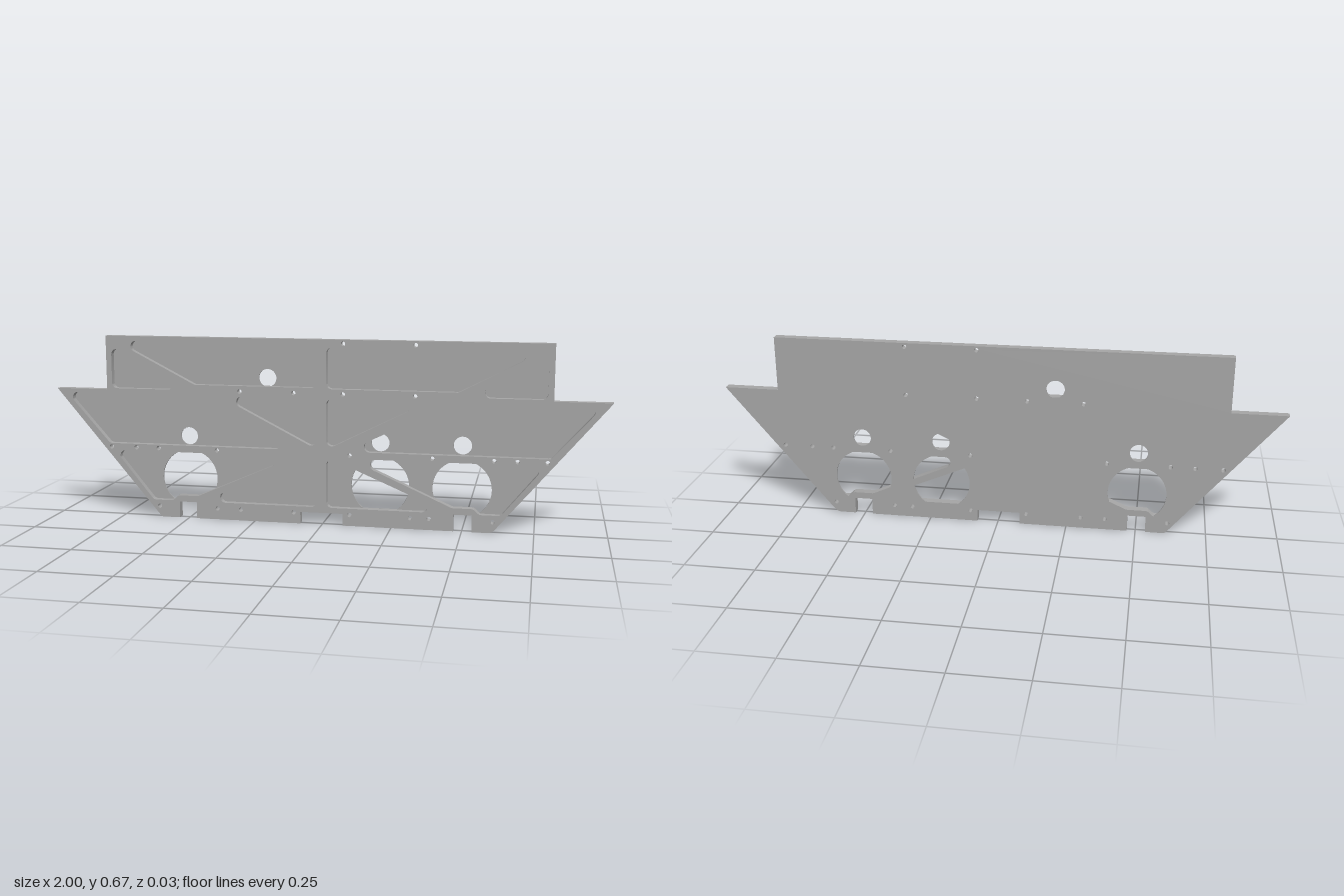
import * as THREE from 'three';
import { toCreasedNormals } from 'three/addons/utils/BufferGeometryUtils.js';

const BACK = -0.015, FLOOR = -0.009, FRONT = 0.015;

// Polygon with rounded corners; each point is [x, y, optional radius]
function rounded(points, radius) {
  const out = [], n = points.length;
  const P = points.map(([x, y]) => new THREE.Vector2(x, y));
  for (let i = 0; i < n; i++) {
    const p = P[i], r = points[i][2] ?? radius;
    if (!r) { out.push(p); continue; }
    const u = P[(i + n - 1) % n].clone().sub(p), v = P[(i + 1) % n].clone().sub(p);
    const room = 0.45 * Math.min(u.length(), v.length());
    u.normalize(); v.normalize();
    const half = Math.acos(THREE.MathUtils.clamp(u.dot(v), -1, 1)) / 2;
    const t = Math.min(r / Math.tan(half), room), rr = t * Math.tan(half);
    const c = u.clone().add(v).normalize().multiplyScalar(rr / Math.sin(half)).add(p);
    const a = p.clone().addScaledVector(u, t).sub(c).angle();
    let d = p.clone().addScaledVector(v, t).sub(c).angle() - a;
    if (d > Math.PI) d -= 2 * Math.PI;
    if (d < -Math.PI) d += 2 * Math.PI;
    for (let k = 0; k <= 8; k++) {
      const g = a + d * k / 8;
      out.push(new THREE.Vector2(c.x + rr * Math.cos(g), c.y + rr * Math.sin(g)));
    }
  }
  return out;
}

function circle(x, y, r, sides) {
  return Array.from({ length: sides }, (_, i) => {
    const a = i / sides * 2 * Math.PI;
    return new THREE.Vector2(x + r * Math.cos(a), y + r * Math.sin(a));
  });
}

// Part of a polygon lying inside a convex counter-clockwise one
function clip(poly, convex) {
  let out = poly;
  convex.forEach((a, i) => {
    const e = convex[(i + 1) % convex.length].clone().sub(a);
    const side = p => e.x * (p.y - a.y) - e.y * (p.x - a.x);
    const next = [];
    out.forEach((p, j) => {
      const q = out[(j + 1) % out.length], sp = side(p), sq = side(q);
      if (sp >= 0) next.push(p);
      if ((sp >= 0) !== (sq >= 0)) next.push(p.clone().lerp(q, sp / (sp - sq)));
    });
    out = next;
  });
  return out.filter((p, i) => p.distanceTo(out[(i + 1) % out.length]) > 1e-5);
}

function layer(name, outline, holes, z0, z1, material) {
  const shape = new THREE.Shape(outline);
  shape.holes = holes.map(h => new THREE.Path(h));
  const geo = new THREE.ExtrudeGeometry(shape, { depth: z1 - z0, bevelEnabled: false });
  geo.translate(0, 0, z0);
  const mesh = new THREE.Mesh(toCreasedNormals(geo, 0.5), material);
  mesh.name = name;
  return mesh;
}

export function createModel() {
  const grey = new THREE.MeshStandardMaterial({ color: 0xa6a6a6 });
  grey.name = 'plate grey';

  // Plate outline with bottom notches
  const outline = rounded([
    [-0.59, 0], [-0.535, 0], [-0.535, 0.06], [-0.47, 0.06], [-0.47, 0],
    [-0.08, 0], [-0.08, 0.043], [0.075, 0.043], [0.075, 0],
    [0.47, 0], [0.47, 0.06], [0.535, 0.06], [0.535, 0], [0.605, 0, 0.035],
    [1, 0.47], [0.803, 0.47], [0.803, 0.667], [-0.805, 0.667], [-0.805, 0.47],
    [-1, 0.47], [-0.605, 0, 0.035],
  ], 0);

  // Pockets found on both sides of the middle rib
  const pockets = [];
  for (const s of [-1, 1]) {
    const mid = s < 0 ? 0.02 : 0.016;
    const sets = [
      // middle outer
      [[0.965, 0.457], [0.473, 0.457], [0.083, 0.27], [0.80, 0.27]],
      // middle inner
      [[0.378, 0.457], [mid, 0.457], [mid, 0.275]],
      // lower inner
      [[0.458, 0.063], [mid, 0.063], [mid, 0.25]],
      // lower outer
      [[0.783, 0.245], [0.098, 0.245], [0.465, 0.083], [0.54, 0.083], [0.56, 0.063], [0.635, 0.063]],
    ];
    sets.forEach(set => pockets.push(rounded(set.map(([x, y]) => [s * x, y]), 0.02)));
  }
  // Upper pockets, slightly different on each side
  [
    [[-0.773, 0.65], [-0.02, 0.65], [-0.02, 0.495], [-0.47, 0.495]],
    [[-0.785, 0.632], [-0.49, 0.475], [-0.785, 0.475]],
    [[0.765, 0.64], [0.016, 0.64], [0.016, 0.492], [0.48, 0.492]],
    [[0.783, 0.62], [0.51, 0.475], [0.783, 0.475]],
  ].forEach(set => pockets.push(rounded(set, 0.02)));

  // Screw holes through the ribs
  const screws = [
    [0.257, [-0.794, -0.698, -0.612, -0.39, 0.1, 0.393, 0.607, 0.687, 0.789]],
    [0.04, [-0.612, -0.39, -0.302, -0.104, 0.1, 0.318, 0.385, 0.607]],
    [0.475, [-0.302, -0.104, 0.075, 0.33]],
    [0.653, [0.075, 0.33]],
  ].flatMap(([y, xs]) => xs.map(x => circle(x, y, 0.008, 16)));

  // Large openings cut the pocket floors but leave the ribs whole
  const openings = [];
  for (const [x, y, r] of [
    [-0.5, 0.147, 0.104], [0.207, 0.147, 0.104], [0.497, 0.147, 0.104],
    [-0.5, 0.303, 0.032], [0.207, 0.303, 0.032], [0.497, 0.303, 0.032], [-0.203, 0.524, 0.032],
  ]) {
    for (const pocket of pockets) {
      const cut = clip(pocket, circle(x, y, r, 48));
      if (cut.length > 2 && Math.abs(THREE.ShapeUtils.area(cut)) > 1e-4) openings.push(cut);
    }
  }

  const group = new THREE.Group();
  group.name = 'pocketedSidePlate';
  group.add(
    layer('backSkin', outline, [...openings, ...screws], BACK, FLOOR, grey),
    layer('ribs', outline, [...pockets, ...screws], FLOOR, FRONT, grey),
  );
  return group;
}
